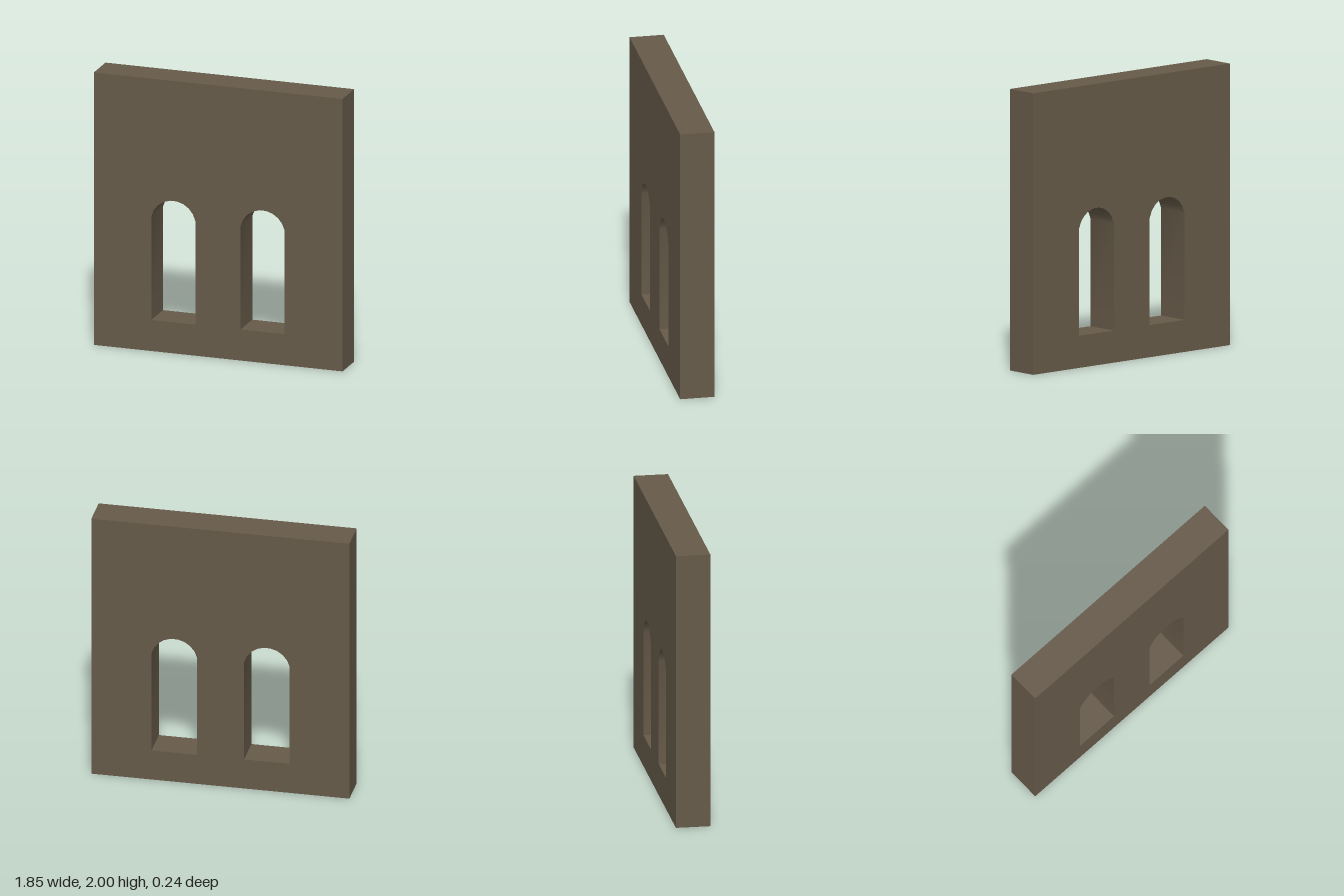
import * as THREE from 'three';
import { toCreasedNormals } from 'three/addons/utils/BufferGeometryUtils.js';

const HALF_WIDTH = 0.924, HEIGHT = 2, DEPTH = 0.244;

// Outline of one window opening: straight jambs under a segmented round arch
function archedOpening(cx) {
  const half = 0.163, sill = 0.228, centreY = 0.953, radius = 0.167;
  const start = Math.acos(half / radius), segments = 9;
  const points = [new THREE.Vector2(cx - half, sill), new THREE.Vector2(cx + half, sill)];
  for (let i = 0; i <= segments; i++) {
    const a = start + (Math.PI - 2 * start) * i / segments;
    points.push(new THREE.Vector2(cx + radius * Math.cos(a), centreY + radius * Math.sin(a)));
  }
  return new THREE.Path(points);
}

export function createModel() {
  const group = new THREE.Group();
  group.name = 'windowWall';

  const stone = new THREE.MeshStandardMaterial({ color: 0x665a49 });
  stone.name = 'brown stone';

  // Wall slab with two arched openings
  const outline = new THREE.Shape([
    new THREE.Vector2(-HALF_WIDTH, 0),
    new THREE.Vector2(HALF_WIDTH, 0),
    new THREE.Vector2(HALF_WIDTH, HEIGHT),
    new THREE.Vector2(-HALF_WIDTH, HEIGHT),
  ]);
  for (const cx of [-0.333, 0.33]) outline.holes.push(archedOpening(cx));

  const slab = new THREE.ExtrudeGeometry(outline, { depth: DEPTH, bevelEnabled: false });
  slab.translate(0, 0, -DEPTH / 2);

  // Smooth arch undersides, sharp wall edges
  const wall = new THREE.Mesh(toCreasedNormals(slab, Math.PI / 6), stone);
  wall.name = 'wall';
  group.add(wall);
  return group;
}
